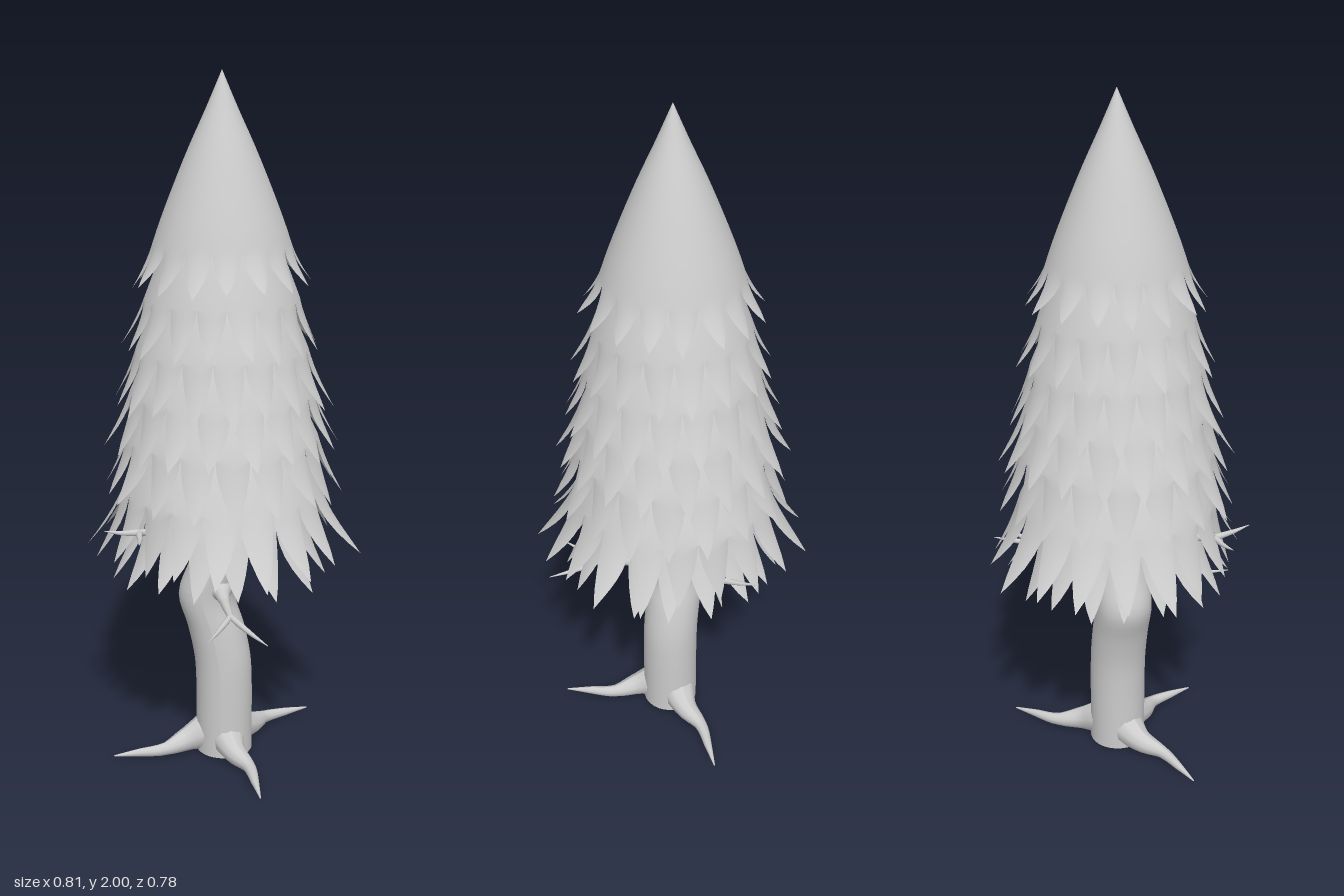
import * as THREE from 'three';

const material = new THREE.MeshStandardMaterial({ color: 0xcccccc, side: THREE.DoubleSide });

// Seeded random numbers for the uneven leaves
function seeded(seed) {
  return () => (seed = (seed * 16807) % 2147483647) / 2147483647;
}

function add(parent, name, geometry) {
  const mesh = new THREE.Mesh(geometry, material);
  mesh.name = name;
  parent.add(mesh);
}

// Tapering round limb along a smooth path, resting on the ground at y = 0
function limb(points, radii) {
  const curve = new THREE.CatmullRomCurve3(points.map(p => new THREE.Vector3(...p)));
  const rings = 16, sides = 10;
  const geometry = new THREE.TubeGeometry(curve, rings, 1, sides);
  const pos = geometry.attributes.position;
  const v = new THREE.Vector3();
  for (let i = 0; i <= rings; i++) {
    const centre = curve.getPointAt(i / rings);
    const f = (i / rings) * (radii.length - 1);
    const k = Math.min(Math.floor(f), radii.length - 2);
    const radius = THREE.MathUtils.lerp(radii[k], radii[k + 1], f - k);
    for (let j = 0; j <= sides; j++) {
      const n = i * (sides + 1) + j;
      v.fromBufferAttribute(pos, n).sub(centre).multiplyScalar(radius).add(centre);
      pos.setXYZ(n, v.x, Math.max(0, v.y), v.z);
    }
  }
  geometry.computeVertexNormals();
  return geometry;
}

// Skirt of foliage: a turned profile [radius, y] whose hem is cut into pointed leaves;
// dip draws the tips in at the front right and back left
function skirt(profile, tipR, tipY, leaves, turn, seed, dip) {
  const random = seeded(seed);
  const curve = new THREE.SplineCurve(profile.map(p => new THREE.Vector2(...p)));
  const [hemR, hemY] = profile[profile.length - 1];
  const bodyRows = 3 * (profile.length - 1), leafRows = 5, half = 5;
  const rows = bodyRows + leafRows + 1;
  const positions = [], index = [];
  const columns = leaves * half * 2;
  const shape = Array.from({ length: leaves }, (_, i) => {
    const a = turn + (i + 0.5) / leaves * Math.PI * 2;
    return {
      length: 0.9 + 0.15 * random(),
      flare: 0.85 + 0.25 * random() - dip * Math.max(0, Math.cos(2 * (a - 2.46))),
      lean: 0.5 * (random() - 0.5),
    };
  });
  for (let c = 0; c < columns; c++) {
    const leaf = Math.floor(c / (half * 2));
    const k = c % (half * 2) - half;
    const reach = 1 - Math.abs(k) / half;              // 0 in the notch, 1 at the tip
    const u = Math.sign(k) * (1 - reach ** 1.6);       // convex sides, pointed end
    const { length, flare, lean } = shape[leaf];
    for (let r = 0; r < rows; r++) {
      let radius, y, side = u;
      if (r <= bodyRows) {
        const p = curve.getPoint(r / bodyRows);
        radius = p.x;
        y = p.y;
      } else {
        const s = reach * (r - bodyRows) / leafRows;
        radius = hemR + (tipR - hemR) * flare * (0.7 * s + 0.3 * s * s) - 0.02 * u * u * s;
        y = hemY + (tipY - hemY) * length * s;
        side += lean * s * s;
      }
      const a = turn + (leaf + 0.5 + side / 2) / leaves * Math.PI * 2;
      positions.push(radius * Math.sin(a), y, radius * Math.cos(a));
      if (r < rows - 1) {
        const p = c * rows + r, q = ((c + 1) % columns) * rows + r;
        index.push(p, p + 1, q, q, p + 1, q + 1);
      }
    }
  }
  const geometry = new THREE.BufferGeometry();
  geometry.setAttribute('position', new THREE.Float32BufferAttribute(positions, 3));
  geometry.setIndex(index);
  geometry.computeVertexNormals();
  return geometry;
}

export function createModel() {
  const model = new THREE.Group();
  model.name = 'coniferTree';

  // Trunk with a bend, as a cylinder whose rings are shifted sideways
  const bend = new THREE.SplineCurve(
    [0.007, 0.007, 0.007, 0.002, -0.018, -0.045, -0.012, 0.02, 0.03]
      .map((x, i) => new THREE.Vector2(x, i * 0.1)));
  const trunk = new THREE.CylinderGeometry(0.084, 0.084, 0.8, 28, 32).translate(0, 0.4, 0);
  const pos = trunk.attributes.position;
  for (let i = 0; i < pos.count; i++) {
    const y = THREE.MathUtils.clamp(pos.getY(i), 0, 0.8);
    const shift = bend.getPoint(Math.min(1, y / 0.8)).x;
    pos.setXYZ(i, pos.getX(i) + shift, y, pos.getZ(i) + 0.005);
  }
  trunk.computeVertexNormals();
  add(model, 'trunk', trunk);

  // Three slim roots hugging the ground
  const roots = new THREE.Group();
  roots.name = 'roots';
  for (const [x, z] of [[-0.31, 0.13], [0.15, 0.31], [0.24, -0.26]]) {
    add(roots, 'root', limb([
      [x * 0.1, 0.06, z * 0.1], [x * 0.32, 0.034, z * 0.32],
      [x * 0.55 + z * 0.06, 0.02, z * 0.55 - x * 0.06],
      [x * 0.8 + z * 0.03, 0.014, z * 0.8 - x * 0.03], [x, 0.008, z],
    ], [0.06, 0.036, 0.019, 0.012, 0.002]));
  }
  model.add(roots);

  // Bare forked branches: base, fork and two tips
  const branches = new THREE.Group();
  branches.name = 'branches';
  const forks = [
    [[0, 0.535, 0.05], [0.05, 0.517, 0.21], [0.015, 0.51, 0.375], [0.17, 0.49, 0.34]],
    [[0.02, 0.635, -0.05], [0.13, 0.655, -0.2], [0.145, 0.69, -0.335], [0.24, 0.66, -0.27]],
    [[-0.04, 0.72, 0.06], [-0.2, 0.757, 0.22], [-0.3, 0.762, 0.236], [-0.18, 0.765, 0.343]],
  ];
  const mix = (a, b, t, dy = 0) => a.map((v, i) => v + (b[i] - v) * t + (i === 1 ? dy : 0));
  for (const [base, fork, ...tips] of forks) {
    add(branches, 'branch', limb([base, mix(base, fork, 0.5, -0.004), fork],
      [0.042, 0.022, 0.014, 0.012, 0.009]));
    for (const tip of tips) {
      add(branches, 'twig', limb([mix(base, fork, 0.9), fork, mix(fork, tip, 0.5, -0.004), tip],
        [0.008, 0.009, 0.006, 0.001]));
    }
  }
  model.add(branches);

  // Foliage: a pointed cap above overlapping leafy skirts
  const foliage = new THREE.Group();
  foliage.name = 'foliage';
  add(foliage, 'crown', skirt(
    [[0.0005, 2], [0.044, 1.9], [0.09, 1.8], [0.132, 1.7], [0.171, 1.6], [0.195, 1.53]],
    0.255, 1.42, 16, 0, 11, 0));
  // hem radius, hem height, tip radius, tip height, leaf count, dip
  const tiers = [
    [0.218, 1.385, 0.28, 1.245, 17, 0],
    [0.243, 1.245, 0.312, 1.085, 18, 0],
    [0.262, 1.12, 0.335, 0.955, 18, 0],
    [0.275, 0.99, 0.345, 0.825, 18, 0],
    [0.285, 0.835, 0.4, 0.65, 19, 0.5],
    [0.245, 0.76, 0.325, 0.59, 18, 0],
  ];
  tiers.forEach(([hemR, hemY, tipR, tipY, leaves, dip], i) => {
    add(foliage, 'skirt', skirt(
      [[hemR * 0.45, hemY + 0.25], [hemR * 0.76, hemY + 0.13], [hemR, hemY]],
      tipR, tipY, leaves, (i + 1) * 0.19, 37 + i * 101, dip));
  });
  model.add(foliage);
  return model;
}
